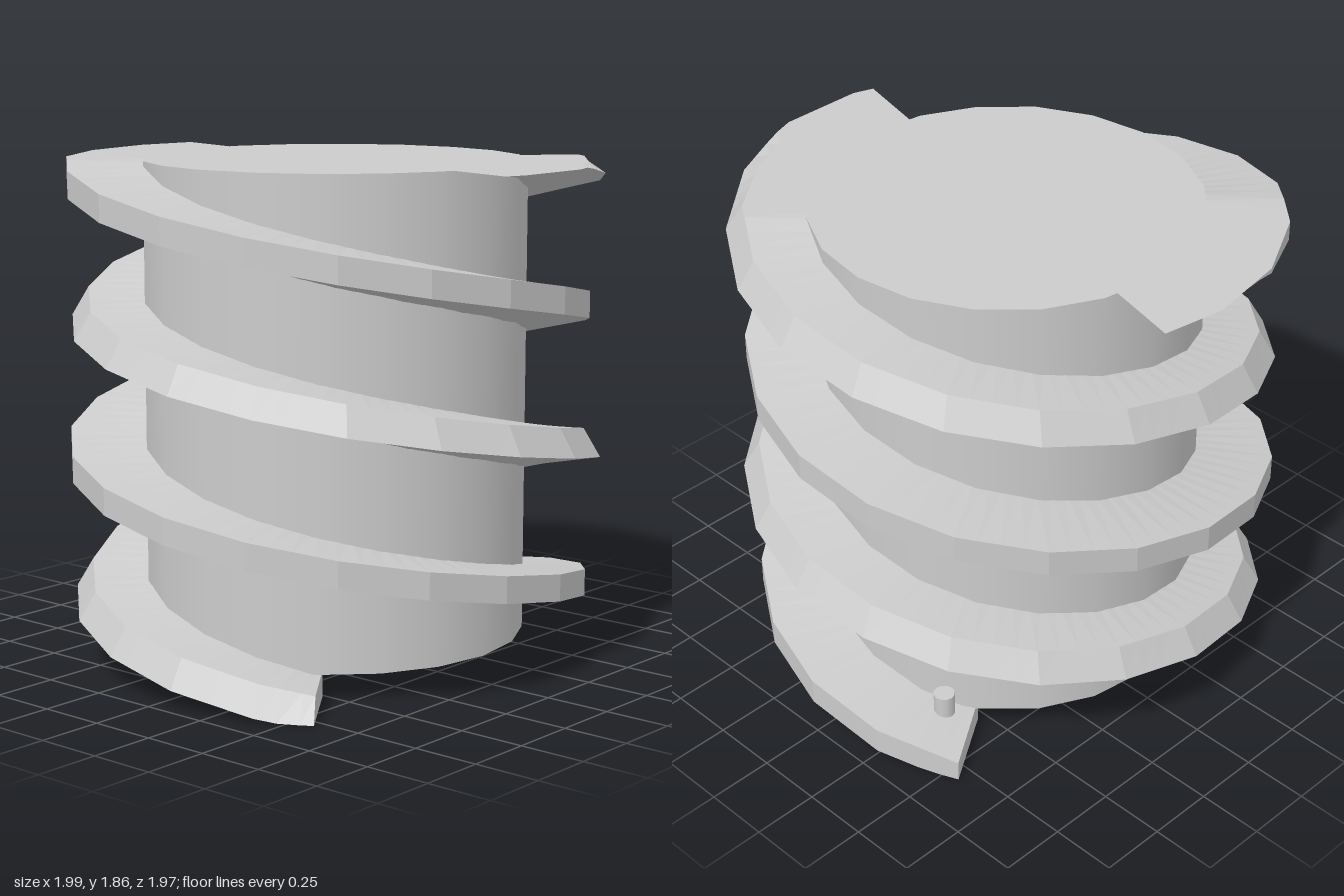
import * as THREE from 'three';

const TOP = 1.86, PITCH = 1.04, STEP = 360 / 19, SUB = 4;

// Sweeps a four-corner profile [radius, height] up a 19-sided helix,
// trimmed flat at the ground and at the top of the core.
function threadGeometry({ profile, phase, base, start, end, offset }) {
  const pos = [], index = [], n = profile.length;
  const corner = (k, r) => {
    const a = THREE.MathUtils.degToRad(phase + k * STEP);
    return new THREE.Vector3(offset + r * Math.sin(a), 0, -r * Math.cos(a));
  };
  const addSection = (phi) => {
    const t = (phi - phase) / STEP, k = Math.floor(t + 1e-6);
    for (const [r, dy] of profile) {
      const p = corner(k, r).lerp(corner(k + 1, r), t - k);
      const y = base + dy + PITCH * phi / 360;
      pos.push(p.x, THREE.MathUtils.clamp(y, 0, TOP), p.z);
    }
  };
  // sections lie on the helix corners and at even steps between them
  addSection(start);
  let sections = 1;
  const d = STEP / SUB;
  for (let m = Math.floor((start - phase) / d + 1e-4) + 1; phase + m * d <= end; m++) {
    addSection(phase + m * d);
    sections++;
  }
  for (let i = 0; i < sections - 1; i++) {
    for (let j = 0; j < n; j++) {
      const a = i * n + j, b = i * n + (j + 1) % n;
      index.push(a, b, a + n, b, b + n, a + n);
    }
  }
  // end caps
  const e = (sections - 1) * n;
  index.push(0, 2, 1, 0, 3, 2, e, e + 1, e + 2, e, e + 2, e + 3);
  const g = new THREE.BufferGeometry();
  g.setAttribute('position', new THREE.Float32BufferAttribute(pos, 3));
  g.setIndex(index);
  const flat = g.toNonIndexed();
  flat.computeVertexNormals();
  return flat;
}

export function createModel() {
  const group = new THREE.Group();
  const smooth = new THREE.MeshStandardMaterial({ color: 0xcccccc });
  const faceted = new THREE.MeshStandardMaterial({ color: 0xcccccc, flatShading: true });
  const add = (name, geometry, material) => {
    const mesh = new THREE.Mesh(geometry, material);
    mesh.name = name;
    group.add(mesh);
    return mesh;
  };

  // central shaft
  add('core', new THREE.CylinderGeometry(0.71, 0.71, TOP - 0.1, 20), smooth)
    .position.y = (TOP + 0.1) / 2;

  // first thread, with an upright outer band
  add('squareThread', threadGeometry({
    profile: [[0.64, -0.055], [0.972, 0], [0.972, 0.1], [0.64, 0.11]],
    phase: -90, base: 0.075, start: -33.2, end: 645, offset: -0.028,
  }), faceted);

  // second thread, half a turn round, with a sloping outer band
  add('bevelledThread', threadGeometry({
    profile: [[0.64, -0.055], [0.987, 0], [0.925, 0.105], [0.64, 0.115]],
    phase: -90 + STEP / 2, base: 0.085, start: -36, end: 645, offset: -0.012,
  }), faceted).rotation.y = Math.PI;

  // small peg at the lower end of the first thread
  add('peg', new THREE.CylinderGeometry(0.04, 0.04, 0.1, 12), smooth)
    .position.set(-0.34, 0.14, -0.67);

  return group;
}
